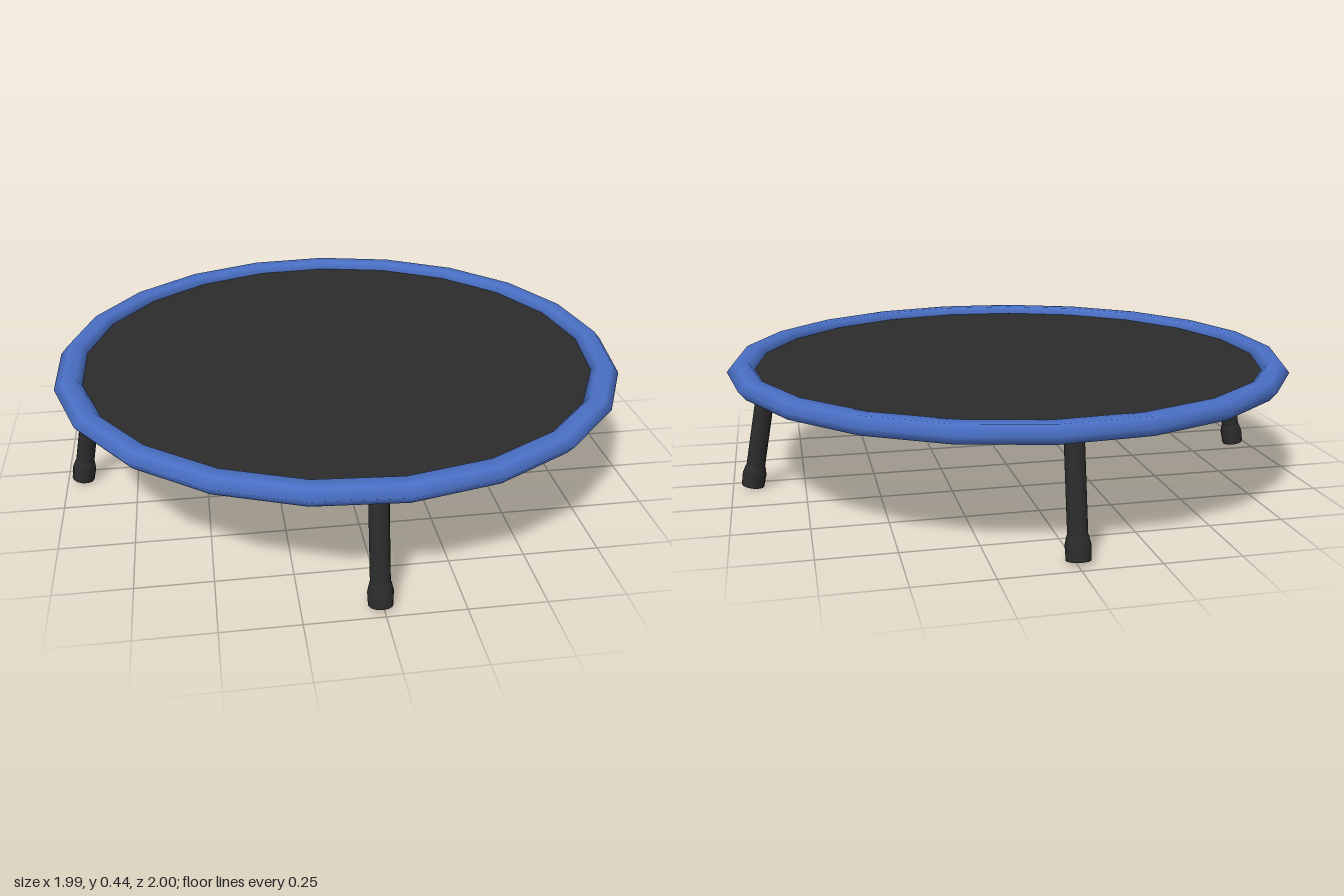
import * as THREE from 'three';

function mat(name, color) {
  const m = new THREE.MeshStandardMaterial({ color });
  m.name = name;
  return m;
}

export function createModel() {
  const model = new THREE.Group();
  model.name = 'trampoline';
  const blue = mat('blue padding', 0x4a70c6);
  const black = mat('black mat', 0x2c2c2c);
  const dark = mat('dark leg', 0x2b2b2b);

  const add = (parent, name, geometry, material) => {
    const mesh = new THREE.Mesh(geometry, material);
    mesh.name = name;
    parent.add(mesh);
    return mesh;
  };

  // Padded rim: 21-sided ring with a flattened six-sided section
  const rim = new THREE.TorusGeometry(0.953, 0.0495, 6, 21);
  rim.rotateX(Math.PI / 2);
  rim.scale(1, 0.7, 1);
  add(model, 'rimPadding', rim, blue).position.set(-0.0055, 0.41, 0);

  // Jumping surface, tucked into the rim
  const surface = new THREE.CylinderGeometry(0.93, 0.93, 0.008, 63);
  add(model, 'jumpingMat', surface, black).position.set(-0.0055, 0.41, 0);

  // Splayed legs with rubber feet; the side pair is offset along z
  const tilt = Math.atan2(0.071, 0.375);
  const legGeometry = new THREE.CylinderGeometry(0.032, 0.032, 0.36, 12);
  legGeometry.translate(0, 0.22, 0);
  const footGeometry = new THREE.LatheGeometry(
    [[0, 0], [0.039, 0], [0.039, 0], [0.041, 0.045], [0.034, 0.073], [0.03, 0.078]]
      .map(([x, y]) => new THREE.Vector2(x, y)), 12);

  const legs = [
    ['leftLeg', 0.932, -0.055, Math.PI / 2],
    ['rightLeg', -0.946, 0.065, -Math.PI / 2],
    ['frontLeg', -0.008, 0.947, 0],
    ['backLeg', -0.008, -0.937, Math.PI],
  ];
  for (const [name, x, z, turn] of legs) {
    const leg = new THREE.Group();
    leg.name = name;
    leg.position.set(x, 0.008, z);
    leg.rotation.set(-tilt, turn, 0, 'YXZ');
    add(leg, 'legTube', legGeometry, dark);
    add(leg, 'rubberFoot', footGeometry, dark);
    model.add(leg);
  }
  return model;
}
